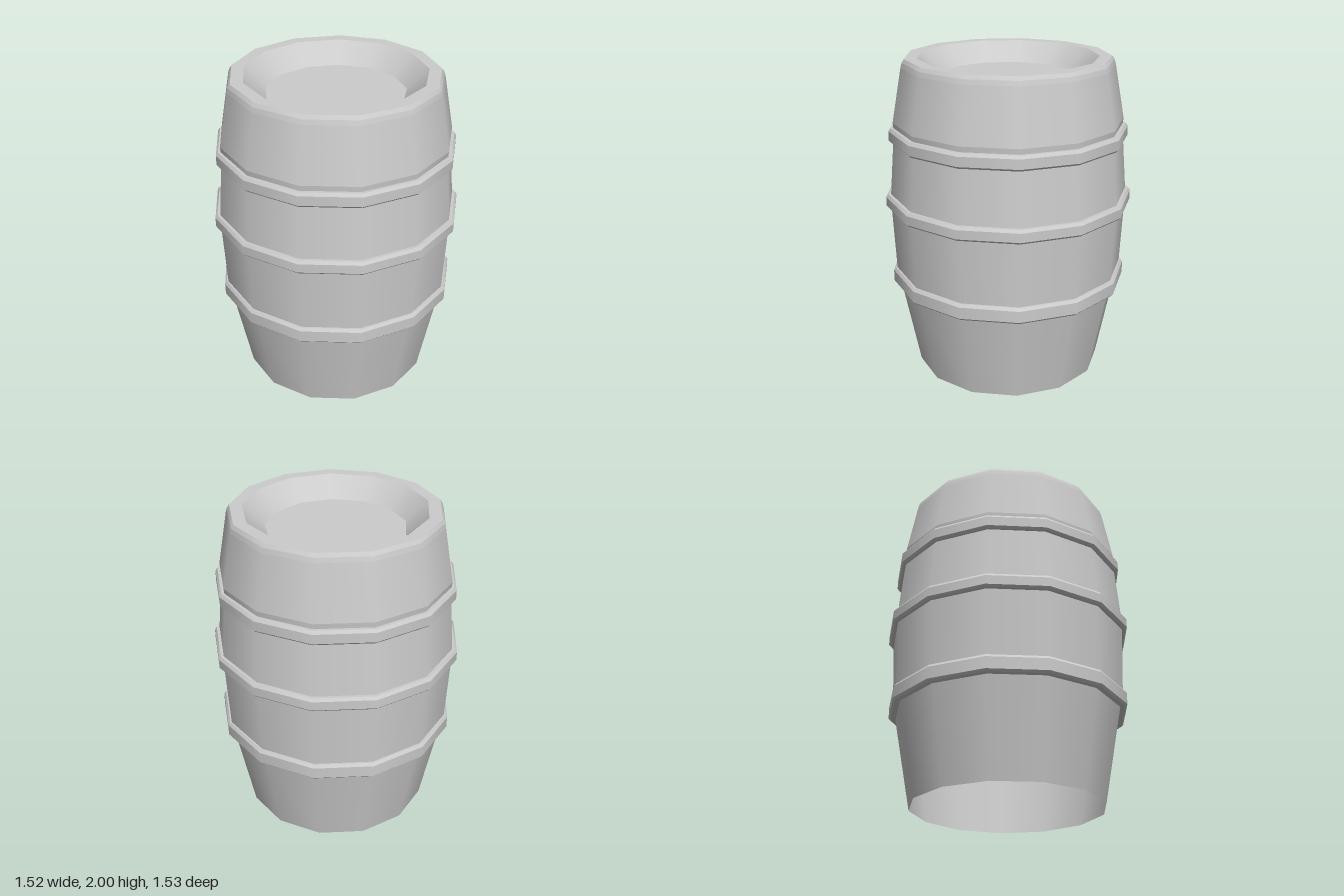
import * as THREE from 'three';
import { mergeGeometries } from 'three/addons/utils/BufferGeometryUtils.js';

const SIDES = 13;
const material = new THREE.MeshStandardMaterial({ color: 0xcccccc, side: THREE.DoubleSide });

// One lathe strip per profile segment: smooth around the barrel, crisp between bands.
function turned(name, profile) {
  const strips = [];
  for (let i = 0; i < profile.length - 1; i++) {
    const pair = [profile[i], profile[i + 1]].map(([r, y]) => new THREE.Vector2(r, y));
    strips.push(new THREE.LatheGeometry(pair, SIDES, Math.PI / 2));
  }
  const mesh = new THREE.Mesh(mergeGeometries(strips), material);
  mesh.name = name;
  return mesh;
}

// Hoop with chamfered edges, joined to the staves below (rLow) and above (rHigh).
function hoop(name, y0, y1, rLow, rHigh, r) {
  const c = 0.013;
  return turned(name, [
    [rLow, y0], [r - c, y0], [r, y0 + c], [r, y1 - c - 0.005], [r - c, y1], [rHigh, y1],
  ]);
}

export function createModel() {
  const barrel = new THREE.Group();
  barrel.name = 'barrel';

  // Stave sections between the hoops; the bottom is open
  barrel.add(
    turned('lowerStaves', [[0.59, 0], [0.7, 0.572]]),
    turned('lowerMiddleStaves', [[0.721, 0.675], [0.739, 1.083]]),
    turned('upperMiddleStaves', [[0.739, 1.17], [0.711, 1.498]]),
    turned('upperStaves', [[0.706, 1.588], [0.709, 1.62], [0.648, 1.95], [0.64, 1.978], [0.626, 2]]),
  );

  // Hoops
  barrel.add(
    hoop('lowerHoop', 0.572, 0.675, 0.7, 0.721, 0.744),
    hoop('middleHoop', 1.083, 1.17, 0.739, 0.739, 0.77),
    hoop('upperHoop', 1.498, 1.588, 0.711, 0.706, 0.737),
  );

  // Rim and sloping recess
  barrel.add(turned('rim', [[0.626, 2], [0.55, 2], [0.42, 1.88]]));

  // Sunken lid
  const lid = new THREE.Mesh(new THREE.CircleGeometry(0.42, SIDES), material);
  lid.name = 'lid';
  lid.rotation.x = -Math.PI / 2;
  lid.position.y = 1.88;
  barrel.add(lid);

  // An odd number of sides reaches further on +x, so shift to centre
  barrel.children.forEach((part) => { part.position.x = -0.011; });
  return barrel;
}
